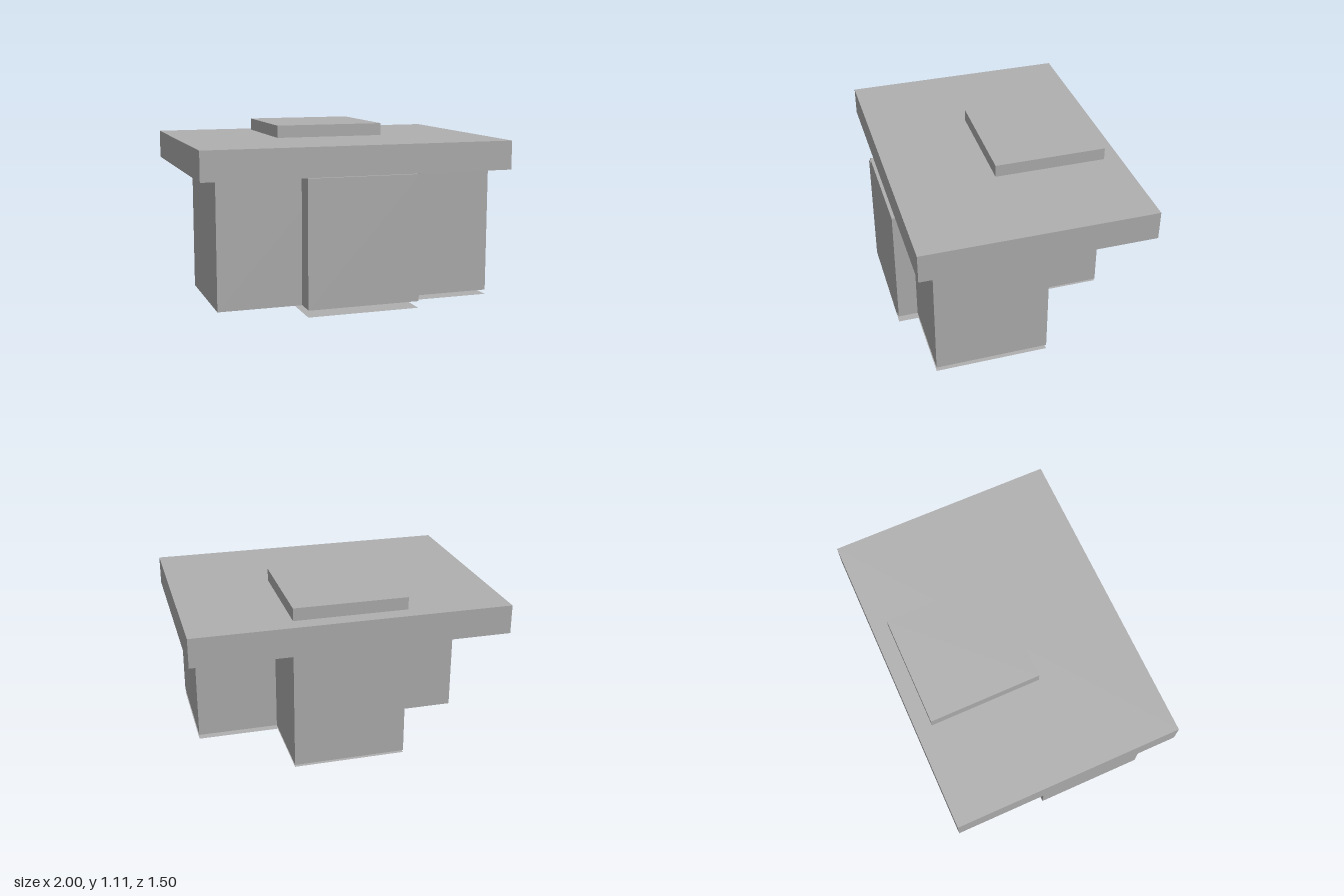
import * as THREE from 'three';

export function createModel() {
  const model = new THREE.Group();
  const grey = new THREE.MeshStandardMaterial({ color: 0xb0b0b0, side: THREE.DoubleSide });
  grey.name = 'plain grey';

  const ROOM = 0.72;   // side of each square room
  const BASE = 0.045;  // foot of the walls
  const EAVES = 0.845; // underside of the roof
  const wallH = EAVES - BASE;

  function add(parent, name, geometry, x, y, z) {
    const mesh = new THREE.Mesh(geometry, grey);
    mesh.name = name;
    mesh.position.set(x, y, z);
    parent.add(mesh);
  }

  // Four overlapping rooms in a cross, their floor sheets stepped in height
  const rooms = [
    { name: 'frontRoom', x: 0, z: 0.38, floor: 0 },
    { name: 'leftRoom', x: 0.53, z: 0.253, floor: 0.016 },
    { name: 'backRoom', x: 0, z: -0.285, floor: 0.031 },
    { name: 'rightRoom', x: -0.53, z: 0.253, floor: 0.045 },
  ];
  for (const r of rooms) {
    const room = new THREE.Group();
    room.name = r.name;
    room.position.set(r.x, 0, r.z);
    // Four thin walls, open below
    for (let i = 0; i < 4; i++) {
      const a = i * Math.PI / 2;
      const wall = new THREE.PlaneGeometry(ROOM, wallH).translate(0, 0, ROOM / 2).rotateY(a);
      add(room, 'wall', wall, 0, BASE + wallH / 2, 0);
    }
    add(room, 'floor', new THREE.PlaneGeometry(ROOM, ROOM).rotateX(-Math.PI / 2), 0, r.floor, 0);
    model.add(room);
  }

  // Ledge and door panel where the front room passes the roof edge
  add(model, 'frontLedge', new THREE.PlaneGeometry(ROOM, 0.04).rotateX(-Math.PI / 2), 0, EAVES - 0.002, 0.72);
  add(model, 'frontPanel', new THREE.PlaneGeometry(ROOM, wallH - 0.004), 0, BASE + wallH / 2 - 0.002, 0.748);

  // Flat roof and raised cap over the back room
  add(model, 'roof', new THREE.BoxGeometry(2, 0.185, 1.467), 0, EAVES + 0.0925, -0.0145);
  add(model, 'roofCap', new THREE.BoxGeometry(ROOM, 0.08, ROOM), 0, 1.07, -0.285);

  return model;
}
